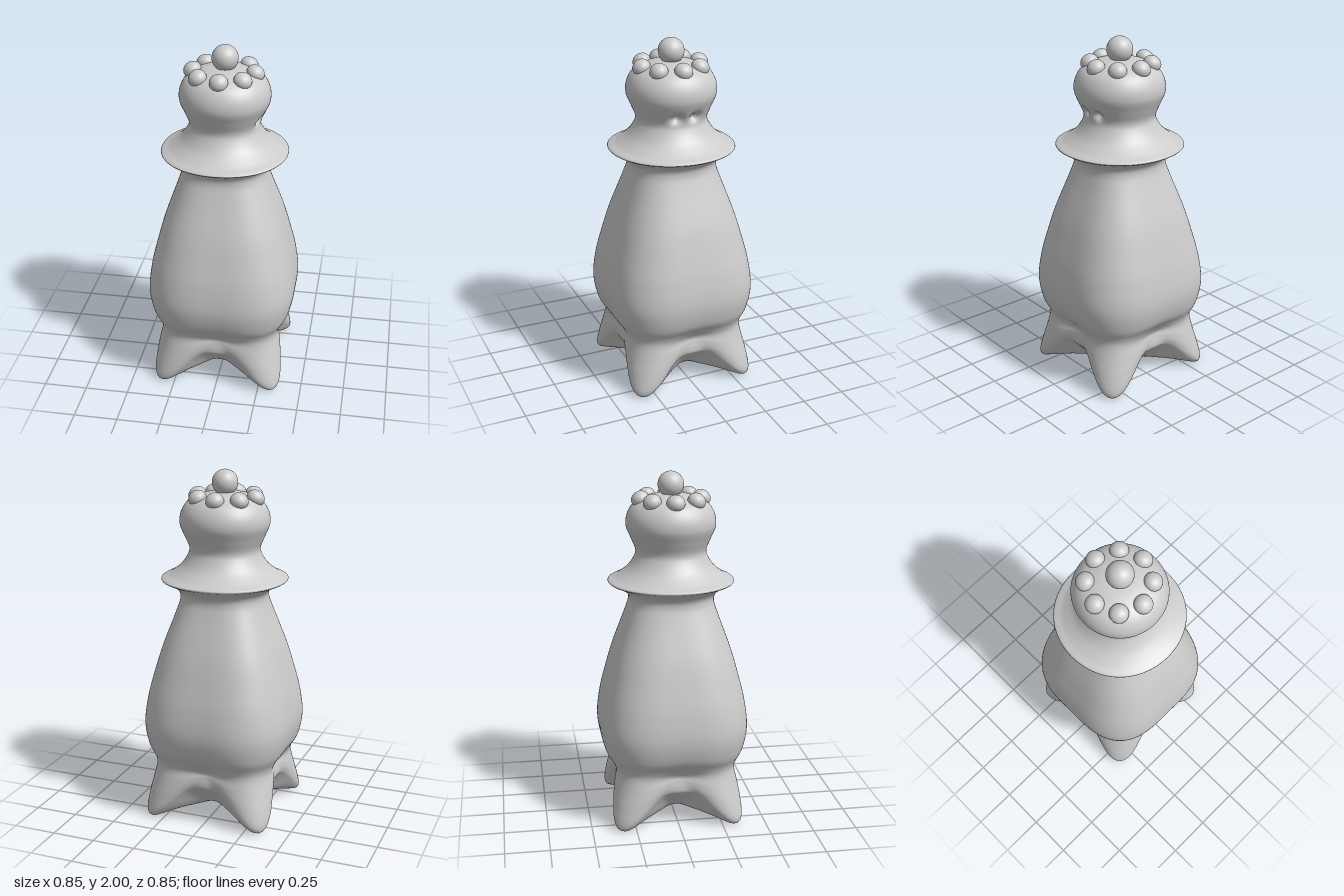
import * as THREE from 'three';

// Rows from the underside to the crown:
// [face radius, face height, corner radius, corner height, corner sharpness]
const ROWS = [
  [0, 0.045, 0, 0.045, 1],
  [0.1, 0.05, 0.15, 0.042, 1],
  [0.2, 0.085, 0.32, 0.03, 1.4],
  [0.27, 0.15, 0.44, 0.004, 2],
  [0.315, 0.2, 0.478, 0.004, 2],
  [0.328, 0.22, 0.49, 0.04, 1.8],
  [0.328, 0.25, 0.468, 0.13, 1.3],
  [0.322, 0.28, 0.44, 0.22, 1],
  [0.32, 0.31, 0.42, 0.3, 1],
  [0.35, 0.355, 0.425, 0.35, 1],
  [0.4, 0.425, 0.46, 0.425, 1],
  [0.425, 0.55, 0.482, 0.55, 1],
  [0.41, 0.7, 0.462, 0.7, 1],
  [0.375, 0.85, 0.42, 0.85, 1],
  [0.333, 1.0, 0.37, 1.0, 1],
  [0.262, 1.2, 0.288, 1.2, 1],
  [0.24, 1.28, 0.26, 1.28, 1],
  [0.255, 1.325, 0.268, 1.325, 1],
  [0.305, 1.36, 0.31, 1.36, 1],
  [0.358, 1.388, 0.363, 1.388, 1],
  [0.31, 1.415, 0.313, 1.415, 1],
  [0.25, 1.462, 0.252, 1.462, 1],
  [0.21, 1.52, 0.212, 1.52, 1],
  [0.2, 1.565, 0.202, 1.565, 1],
  [0.225, 1.63, 0.227, 1.63, 1],
  [0.252, 1.7, 0.254, 1.7, 1],
  [0.243, 1.77, 0.245, 1.77, 1],
  [0.2, 1.83, 0.2, 1.83, 1],
  [0.11, 1.868, 0.11, 1.868, 1],
  [0, 1.88, 0, 1.88, 1],
];

const smoothCurve = (points) => new THREE.CatmullRomCurve3(points, false, 'catmullrom', 0.5);

// Two small pits side by side on the +x side of the head
function pitDepth(x, y, z) {
  if (x < 0) return 0;
  const side = (Math.abs(z) - 0.055) / 0.03;
  const rise = (y - 1.6) / 0.024;
  return 0.04 * Math.exp(-side * side - rise * rise);
}

// Loft whose sections blend between a face profile and a corner profile
function bodyGeometry(around = 128, perRow = 6) {
  const face = smoothCurve(ROWS.map(([r, y]) => new THREE.Vector3(r, y, 0)));
  const corner = smoothCurve(ROWS.map((row) => new THREE.Vector3(row[2], row[3], row[4])));
  const steps = (ROWS.length - 1) * perRow;
  const positions = [];
  const index = [];
  for (let i = 0; i <= steps; i++) {
    const f = face.getPoint(i / steps);
    const c = corner.getPoint(i / steps);
    for (let j = 0; j < around; j++) {
      const a = (j / around) * Math.PI * 2;
      const w = Math.pow(Math.sin(2 * a) ** 2, c.z);
      const y = THREE.MathUtils.lerp(f.y, c.y, w);
      let r = Math.max(0, THREE.MathUtils.lerp(f.x, c.x, w));
      r -= Math.min(r, pitDepth(Math.cos(a) * r, y, Math.sin(a) * r));
      positions.push(Math.cos(a) * r, y, -Math.sin(a) * r);
      if (i < steps) {
        const k = (j + 1) % around;
        const p = i * around + j, q = i * around + k;
        index.push(p, q, q + around, p, q + around, p + around);
      }
    }
  }
  const geometry = new THREE.BufferGeometry();
  geometry.setAttribute('position', new THREE.Float32BufferAttribute(positions, 3));
  geometry.setIndex(index);
  geometry.computeVertexNormals();
  return geometry;
}

export function createModel() {
  const model = new THREE.Group();
  const material = new THREE.MeshStandardMaterial({ color: 0xcccccc });

  const add = (name, geometry, x, y, z) => {
    const mesh = new THREE.Mesh(geometry, material);
    mesh.name = name;
    mesh.position.set(x, y, z);
    model.add(mesh);
    return mesh;
  };

  // Footed body, collar and head in one skin
  add('body', bodyGeometry(), 0, 0, 0);

  // Ball on the crown
  add('topBall', new THREE.SphereGeometry(0.073, 40, 28), 0, 1.927, 0);

  // Ring of slightly flattened beads
  const bead = new THREE.SphereGeometry(0.051, 28, 20);
  for (let i = 0; i < 8; i++) {
    const a = (i / 8) * Math.PI * 2;
    const mesh = add('crownBead', bead, -0.007 + 0.173 * Math.cos(a), 1.85, 0.173 * Math.sin(a));
    mesh.rotation.set(0, -a, -0.5);
    mesh.scale.y = 0.86;
  }
  return model;
}
